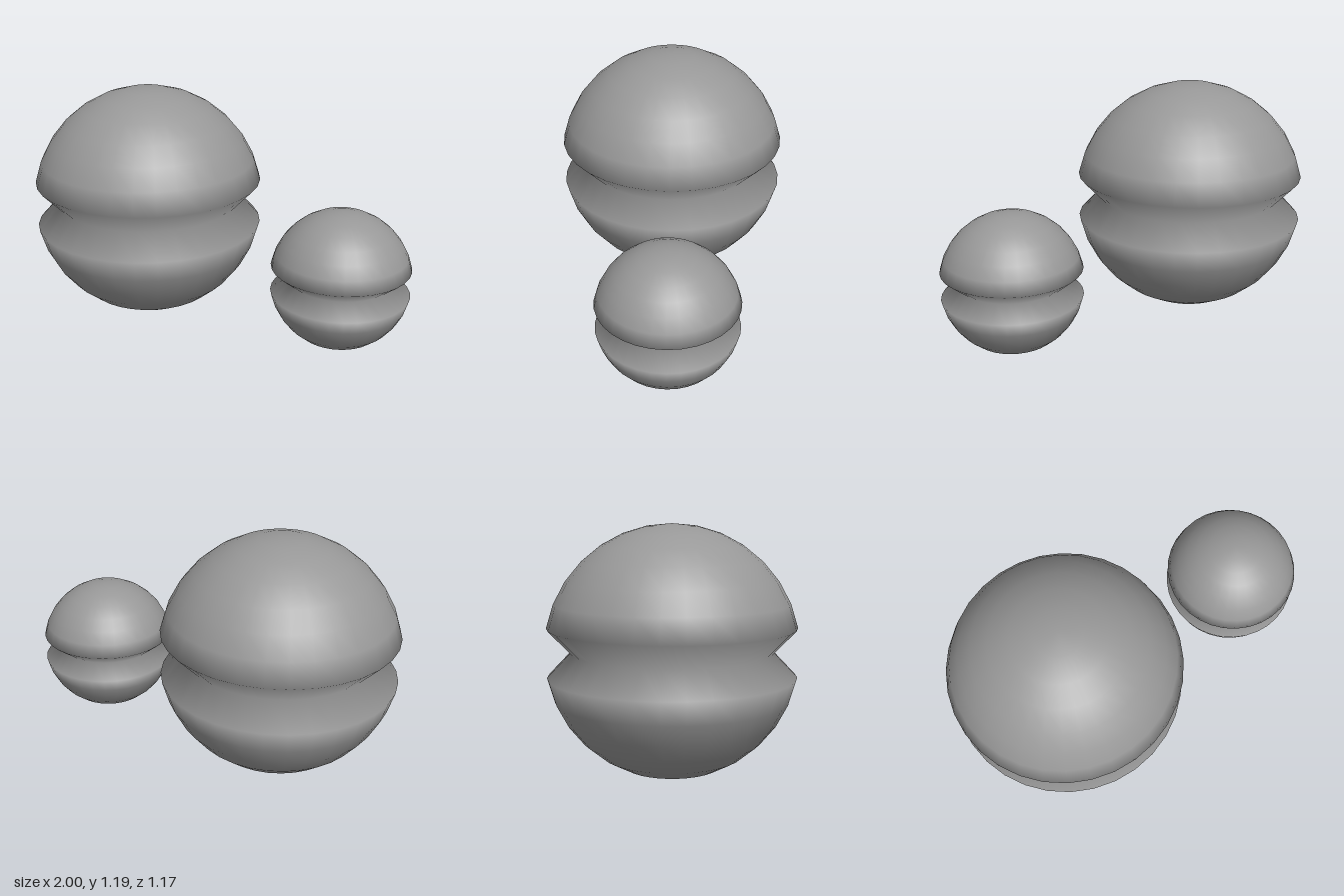
import * as THREE from 'three';

const material = new THREE.MeshStandardMaterial({ color: 0x989898 });

// A ball whose equator is pinched inwards to a V-shaped groove.
function pinchedBall(name, radius, waist, x, y) {
  const steps = 16;
  const profile = [];
  for (let i = 0; i <= steps; i++) {
    const a = -Math.PI / 2 + (Math.PI * i) / steps;
    const pole = i === 0 || i === steps;
    const r = pole ? 0 : i === steps / 2 ? waist : radius * Math.cos(a);
    profile.push(new THREE.Vector2(r, radius * Math.sin(a)));
  }
  const geometry = new THREE.LatheGeometry(profile, 32);

  // Smooth poles: their normals point straight up and down.
  const { position, normal } = geometry.attributes;
  for (let i = 0; i < position.count; i++) {
    const height = position.getY(i);
    if (Math.abs(height) > radius * 0.999) normal.setXYZ(i, 0, Math.sign(height), 0);
  }

  const ball = new THREE.Mesh(geometry, material);
  ball.name = name;
  ball.position.set(x, y, 0);
  return ball;
}

export function createModel() {
  const model = new THREE.Group();
  model.name = 'groovedBalls';
  model.add(pinchedBall('largeBall', 0.594, 0.472, -0.417, 0.597));
  model.add(pinchedBall('smallBall', 0.35, 0.26, 0.656, 0.352));
  return model;
}
